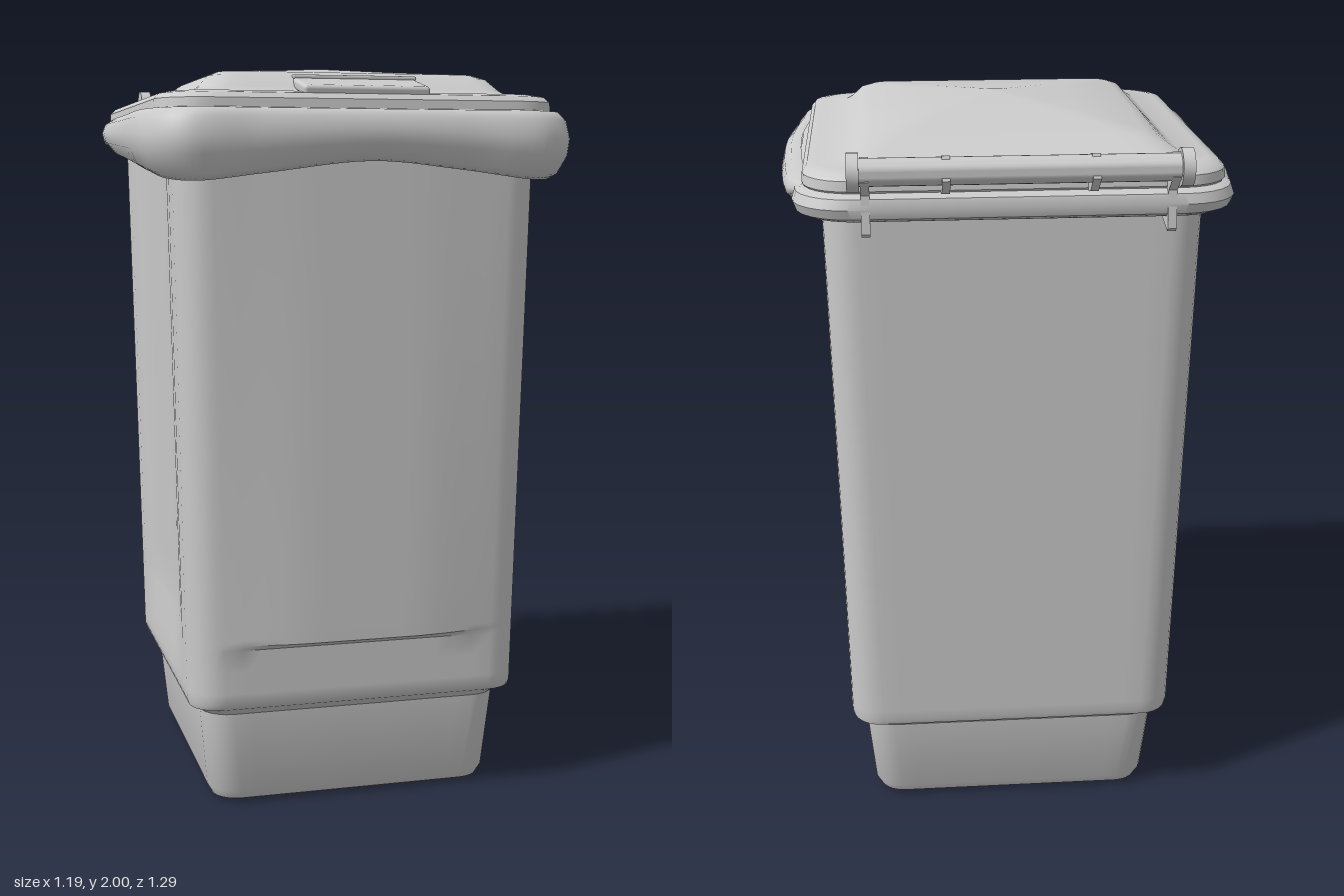
import * as THREE from 'three';
import { toCreasedNormals } from 'three/addons/utils/BufferGeometryUtils.js';
import { RoundedBoxGeometry } from 'three/addons/geometries/RoundedBoxGeometry.js';

const grey = new THREE.MeshStandardMaterial({ color: 0xcccccc });
const greyThin = new THREE.MeshStandardMaterial({ color: 0xcccccc, side: THREE.DoubleSide });
const clamp = (v) => Math.min(1, Math.max(0, v));

function add(group, name, geometry, material = grey) {
  const mesh = new THREE.Mesh(geometry, material);
  mesh.name = name;
  group.add(mesh);
  return mesh;
}

// Rounded rectangle in plan, with subdivided corners and sides
function roundedRing(x0, x1, z0, z1, r, arc = 6, side = 14) {
  const corners = [[x1 - r, z1 - r], [x0 + r, z1 - r], [x0 + r, z0 + r], [x1 - r, z0 + r]];
  const pts = [];
  corners.forEach(([cx, cz], k) => {
    for (let i = 0; i <= arc; i++) {
      const a = (k + i / arc) * Math.PI / 2;
      pts.push([cx + r * Math.cos(a), cz + r * Math.sin(a)]);
    }
    const [ex, ez] = pts[pts.length - 1];
    const a = (k + 1) * Math.PI / 2;
    const [nx, nz] = corners[(k + 1) % 4];
    const sx = nx + r * Math.cos(a), sz = nz + r * Math.sin(a);
    for (let i = 1; i < side; i++) {
      const t = i / side;
      pts.push([ex + (sx - ex) * t, ez + (sz - ez) * t]);
    }
  });
  return pts;
}

// Closed loft through rings [y, x0, x1, z0, z1, cornerRadius]; rule moves each point
function loft(rings, rule = (p) => p, crease = 0.6) {
  const pos = [], index = [];
  let n = 0;
  for (const [y, ...rect] of rings) {
    const ring = roundedRing(...rect);
    n = ring.length;
    for (const [x, z] of ring) pos.push(...rule([x, y, z]));
  }
  for (const [y, x0, x1, z0, z1] of [rings[0], rings[rings.length - 1]]) {
    pos.push(...rule([(x0 + x1) / 2, y, (z0 + z1) / 2]));
  }
  const top = (rings.length - 1) * n, centre = rings.length * n;
  for (let j = 0; j < n; j++) {
    const k = (j + 1) % n;
    for (let i = 0; i < rings.length - 1; i++) {
      const a = i * n + j, b = i * n + k;
      index.push(a, a + n, b, b, a + n, b + n);
    }
    index.push(centre, j, k, centre + 1, top + k, top + j);
  }
  const g = new THREE.BufferGeometry();
  g.setAttribute('position', new THREE.Float32BufferAttribute(pos, 3));
  g.setIndex(index);
  return toCreasedNormals(g, crease);
}

function bodyGeometry() {
  const rings = [
    [0, -0.375, 0.355, -0.355, 0.425, 0.06],
    [0.01, -0.395, 0.375, -0.375, 0.445, 0.07],
    [0.035, -0.408, 0.388, -0.388, 0.458, 0.08],
    [0.26, -0.43, 0.41, -0.41, 0.475, 0.08],
    [0.275, -0.445, 0.425, -0.425, 0.49, 0.08],
    [0.285, -0.465, 0.445, -0.445, 0.51, 0.08],
  ];
  for (const y of [0.3, 0.33, 0.39, 0.45, 0.465, 0.48, 0.51, 0.6, 0.8, 1, 1.2, 1.4, 1.6, 1.82]) {
    const t = (y - 0.3) / 1.5;
    rings.push([y, -0.47 - 0.03 * t, 0.45 + 0.027 * t, -0.45 - 0.025 * t, 0.52 + 0.033 * t, 0.09]);
  }
  return loft(rings, ([x, y, z]) => {
    // Raised front panel with a lip at its foot
    if (z > 0.5 && y > 0.46) {
      const across = clamp((0.38 - Math.abs(x + 0.012)) / 0.2);
      z += (0.026 - 0.016 * clamp((y - 0.5) / 1.2)) * across;
    }
    // Shallow side panels with a sloping ledge at the foot
    if (Math.abs(x + 0.012) > 0.44) {
      const depth = clamp((y - 0.33) / 0.18) * clamp((0.34 - Math.abs(z - 0.03)) / 0.16);
      x -= Math.sign(x) * 0.02 * depth;
    }
    return [x, y, z];
  });
}

// Loose skirt: rim path of x, z and the height of its wavy lower edge
function skirtGeometry() {
  const path = new THREE.CatmullRomCurve3([
    [-0.545, 1.83, -0.45], [-0.572, 1.79, -0.39], [-0.592, 1.765, -0.2], [-0.596, 1.735, 0.15],
    [-0.597, 1.71, 0.45], [-0.565, 1.69, 0.57], [-0.49, 1.685, 0.633], [-0.3, 1.705, 0.636],
    [0, 1.735, 0.637], [0.25, 1.715, 0.638], [0.46, 1.69, 0.64], [0.545, 1.69, 0.57],
    [0.57, 1.705, 0.4], [0.592, 1.735, 0.13], [0.582, 1.765, -0.2], [0.565, 1.79, -0.36],
    [0.53, 1.83, -0.45],
  ].map((p) => new THREE.Vector3(...p)), false, 'centripetal');
  // Section as [scale towards the centre, share of the height]
  const section = [[0.91, 1.02], [0.955, 1], [0.985, 0.87], [1, 0.6], [0.992, 0.35], [0.955, 0.08], [0.92, 0], [0.89, 0.12], [0.87, 0.4]];
  const pos = [], index = [], steps = 110, m = section.length;
  for (let i = 0; i <= steps; i++) {
    const p = path.getPoint(i / steps);
    for (const [s, h] of section) {
      pos.push(-0.01 + (p.x + 0.01) * s, p.y + (1.865 - p.y) * h, 0.03 + (p.z - 0.03) * s);
    }
  }
  for (let i = 0; i < steps; i++) {
    for (let j = 0; j < m - 1; j++) {
      const a = i * m + j, b = a + m;
      index.push(a, a + 1, b, b, a + 1, b + 1);
    }
  }
  const g = new THREE.BufferGeometry();
  g.setAttribute('position', new THREE.Float32BufferAttribute(pos, 3));
  g.setIndex(index);
  g.computeVertexNormals();
  return g;
}

// Flat bracket drawn as [z, y] corners
function bracketGeometry(corners, width) {
  const shape = new THREE.Shape(corners.map(([z, y]) => new THREE.Vector2(z, y)));
  return new THREE.ExtrudeGeometry(shape, { depth: width, bevelEnabled: false })
    .translate(0, 0, -width / 2).rotateY(-Math.PI / 2);
}

export function createModel() {
  const bin = new THREE.Group();
  bin.name = 'wheelieBin';

  add(bin, 'body', bodyGeometry());

  // Flange around the mouth of the body
  add(bin, 'rimFlange', loft([
    [1.79, -0.54, 0.52, -0.555, 0.575, 0.13],
    [1.8, -0.56, 0.54, -0.572, 0.592, 0.14],
    [1.825, -0.568, 0.548, -0.58, 0.6, 0.14],
    [1.85, -0.56, 0.54, -0.573, 0.593, 0.14],
    [1.86, -0.54, 0.52, -0.555, 0.575, 0.13],
  ]));

  // Lid with a soft edge, sloping shoulder and low crowned top
  add(bin, 'lid', loft([
    [1.85, -0.535, 0.51, -0.545, 0.58, 0.12],
    [1.865, -0.545, 0.522, -0.555, 0.592, 0.125],
    [1.89, -0.543, 0.52, -0.553, 0.59, 0.125],
    [1.904, -0.53, 0.508, -0.54, 0.577, 0.12],
    [1.91, -0.505, 0.485, -0.515, 0.55, 0.11],
    [1.913, -0.44, 0.42, -0.45, 0.495, 0.08],
    [1.925, -0.42, 0.4, -0.43, 0.475, 0.07],
    [1.955, -0.39, 0.37, -0.385, 0.445, 0.06],
    [1.967, -0.36, 0.34, -0.35, 0.41, 0.05],
    [1.982, -0.2, 0.19, -0.16, 0.24, 0.03],
    [2, -0.03, 0.02, 0.01, 0.07, 0.01],
  ], ([x, y, z]) => [x, y > 1.93 ? y + Math.min(0, z + 0.05) * 0.06 : y, z]));

  add(bin, 'skirt', skirtGeometry(), greyThin);

  // Front grip flap
  const grip = add(bin, 'gripFlap', new RoundedBoxGeometry(0.335, 0.028, 0.136, 3, 0.01));
  grip.position.set(-0.012, 1.923, 0.511);
  grip.rotation.x = 0.2;
  add(bin, 'gripHood', new RoundedBoxGeometry(0.335, 0.012, 0.03, 2, 0.005)).position.set(-0.012, 1.952, 0.44);

  // Rear handle bar with end caps
  const cylinder = (name, r, length, x) => {
    const g = new THREE.CylinderGeometry(r, r, length, 28).rotateZ(Math.PI / 2);
    add(bin, name, toCreasedNormals(g, 0.6)).position.set(x, 1.923, -0.6);
  };
  cylinder('handleBar', 0.034, 0.82, -0.01);
  for (const side of [-1, 1]) cylinder('handleEndCap', 0.047, 0.03, -0.01 + side * 0.403);

  // Outer brackets reach down to the body, inner ones hold the lid
  const outer = [[-0.63, 1.905], [-0.575, 1.86], [-0.583, 1.765], [-0.575, 1.757], [-0.45, 1.79],
    [-0.45, 1.83], [-0.52, 1.885], [-0.565, 1.93], [-0.6, 1.96]];
  const inner = [[-0.635, 1.905], [-0.59, 1.865], [-0.52, 1.85], [-0.52, 1.905], [-0.555, 1.915], [-0.575, 1.955], [-0.61, 1.962]];
  for (const x of [-0.388, 0.365]) add(bin, 'outerBracket', bracketGeometry(outer, 0.022)).position.x = x;
  for (const x of [-0.192, 0.17]) add(bin, 'innerBracket', bracketGeometry(inner, 0.02)).position.x = x;

  return bin;
}
